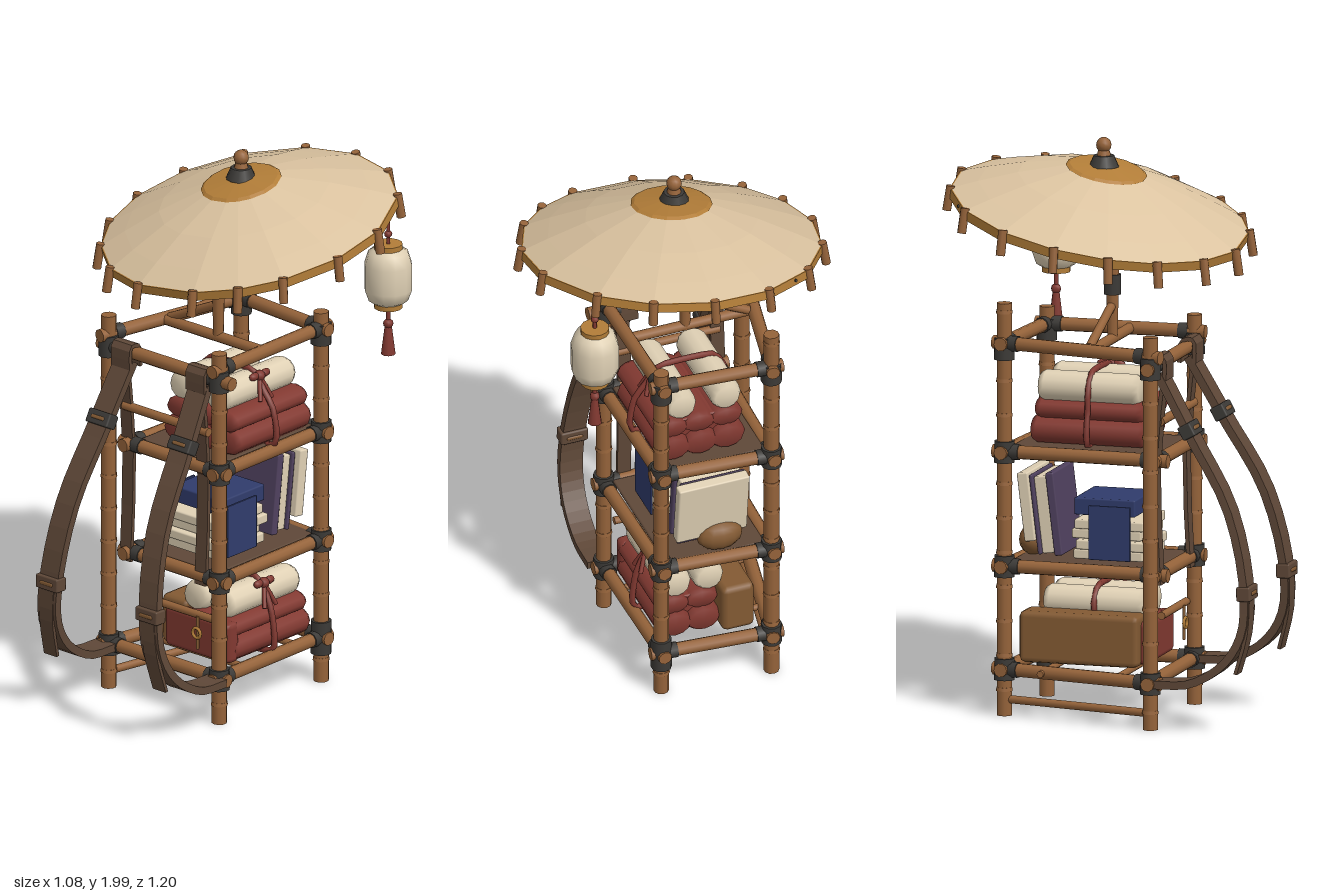
import * as THREE from 'three';
import { RoundedBoxGeometry } from 'three/addons/geometries/RoundedBoxGeometry.js';

const mat = (name, color) => Object.assign(new THREE.MeshStandardMaterial({ color }), { name });
const V = (x, y, z) => new THREE.Vector3(x, y, z);

export function createModel() {
  const bamboo = mat('bamboo', 0x95633a), wrap = mat('dark binding', 0x3c3a37);
  const canopyMat = mat('parchment', 0xdbc3a0), gold = mat('golden trim', 0xb27d38);
  const leather = mat('strap leather', 0x5f4838), red = mat('red cloth', 0x823931);
  const cream = mat('cream paper', 0xe0d1b5), blue = mat('blue cover', 0x303c6c);
  const purple = mat('purple cover', 0x50415f), tan = mat('tan leather', 0x835a33);
  canopyMat.side = THREE.DoubleSide;

  const model = new THREE.Group();
  const add = (name, geo, material, x = 0, y = 0, z = 0, parent = model) => {
    const m = new THREE.Mesh(geo, material);
    m.name = name;
    m.position.set(x, y, z);
    parent.add(m);
    return m;
  };
  const rod = (name, a, b, r, material, r2 = r, sides = 10, parent = model) => {
    const d = b.clone().sub(a);
    const m = add(name, new THREE.CylinderGeometry(r2, r, d.length(), sides), material, 0, 0, 0, parent);
    m.position.copy(a).lerp(b, 0.5);
    m.quaternion.setFromUnitVectors(V(0, 1, 0), d.normalize());
    return m;
  };
  const block = (name, w, h, d, material, x, y, z, r = 0.006) =>
    add(name, new RoundedBoxGeometry(w, h, d, 1, r), material, x, y, z);
  const flat = (geo) => {
    const g = geo.toNonIndexed();
    g.computeVertexNormals();
    return g;
  };

  // Corner posts with raised bamboo nodes, bound where bars meet them
  const corners = [[-0.38, 0.24, 1.38], [0.13, 0.24, 1.37], [0.125, -0.29, 1.37], [-0.27, -0.32, 1.45]];
  const levels = [0.17, 0.53, 0.93, 1.29];
  const isShelf = (l) => l === 1 || l === 2;
  corners.forEach(([x, z, top], i) => {
    rod('cornerPost', V(x, 0.008, z), V(x, top, z), 0.027, bamboo);
    for (let y = 0.07 + i * 0.01; y < top; y += 0.12)
      add('postNode', new THREE.CylinderGeometry(0.028, 0.03, 0.012, 10), bamboo, x, y, z);
    levels.forEach((y, l) => {
      if (i === 0 && isShelf(l)) return;
      add('postBinding', new THREE.CylinderGeometry(0.036, 0.037, l === 0 && i === 2 ? 0.12 : 0.075, 10),
        wrap, x, y - (l === 3 && i < 2 ? 0.02 : 0), z);
    });
  });

  // Horizontal bars; the two upper shelves have their front left corner set inward
  levels.forEach((y, l) => {
    const corner = (i, h) => i % 4 === 0 && isShelf(l) ? V(-0.285, h, 0.235) : V(corners[i % 4][0], h, corners[i % 4][1]);
    for (let i = 0; i < 4; i++) {
      const topFront = l === 3 && i === 0;
      const h = l < 3 ? y : topFront ? 1.27 : 1.31;
      const a = corner(i, h), b = corner(i + 1, h), d = b.clone().sub(a).normalize();
      rod('crossBar', a.clone().addScaledVector(d, -0.04), b.clone().addScaledVector(d, topFront ? 0.06 : 0.04), 0.024, bamboo);
      [[a, 1], [b, -1]].forEach(([p, s]) => rod('barBinding', p.clone().addScaledVector(d, 0.02 * s),
        p.clone().addScaledVector(d, 0.055 * s), 0.028, wrap));
    }
    // Boards and slats under the load
    if (isShelf(l)) block('shelfBoard', 0.36, 0.014, 0.52, leather, -0.075, y + 0.012, -0.04);
    if (l === 0) [-0.17, 0.1].forEach(z => rod('shelfSlat', V(-0.34, y, z), V(0.13, y, z), 0.012, bamboo));
  });
  rod('lowSideBar', V(-0.38, 0.065, 0.24), V(-0.27, 0.065, -0.32), 0.014, bamboo);
  rod('frontRail', V(-0.3, 1.07, 0.25), V(0.09, 1.07, 0.25), 0.016, bamboo);
  rod('lowerFrontRail', V(-0.19, 0.37, 0.22), V(0.1, 0.37, 0.22), 0.014, bamboo);

  // Parasol mast with its braces
  rod('mastBar', V(-0.33, 1.31, 0.01), V(0.13, 1.31, 0.01), 0.019, bamboo);
  rod('mast', V(-0.08, 1.3, 0.01), V(-0.08, 1.64, 0.01), 0.018, bamboo, 0.026);
  rod('mastTop', V(-0.08, 1.62, 0.01), V(-0.02, 1.88, -0.04), 0.024, bamboo);
  rod('mastBrace', V(-0.31, 1.32, 0), V(-0.08, 1.43, 0.01), 0.016, bamboo);
  rod('mastFork', V(-0.08, 1.5, 0.01), V(0.02, 1.7, -0.12), 0.011, bamboo);
  add('mastBinding', new THREE.CylinderGeometry(0.03, 0.03, 0.07, 10), wrap, -0.08, 1.5, 0.01);
  [[0.4, 1.81, -0.36], [-0.3, 1.785, -0.48]].forEach(p =>
    rod('parasolStay', V(-0.08, 1.64, 0.01), V(...p), 0.006, wrap, 0.006, 6));

  // Tilted parasol: sixteen hand-cut panels, rim band and hanging rib ends
  const parasol = new THREE.Group();
  parasol.name = 'parasol';
  parasol.position.set(0, 1.737, -0.062);
  parasol.quaternion.setFromUnitVectors(V(0, 1, 0), V(-0.09, 1, 0.2).normalize());
  model.add(parasol);
  const ribs = [4.5, -19, -43.5, -67.5, -90, -111, -130.5, -152, -173, -199, -217, -234.5, -258, -281, -309.5, -332, -355.5]
    .map(d => THREE.MathUtils.degToRad(180 - d));
  const lathe = (pts) => {
    const g = new THREE.LatheGeometry(pts.map(p => new THREE.Vector2(...p)), 16), p = g.attributes.position;
    for (let i = 0; i < p.count; i++) {
      const a = ribs[Math.floor(i / pts.length)], r = pts[i % pts.length][0];
      p.setXYZ(i, r * Math.sin(a), p.getY(i), r * Math.cos(a));
    }
    return flat(g);
  };
  add('canopy', lathe([[0.518, 0.004], [0.43, 0.043], [0.3, 0.096], [0.14, 0.148], [0.001, 0.165]]), canopyMat, 0, 0, 0, parasol);
  add('canopyCap', lathe([[0.142, 0.15], [0.13, 0.158], [0.001, 0.172]]), gold, 0, 0, 0, parasol);
  add('innerCap', lathe([[0.001, 0.152], [0.13, 0.141]]), gold, 0, 0, 0, parasol);
  add('rimBand', lathe([[0.508, -0.028], [0.522, -0.028], [0.522, 0.004], [0.508, 0.005], [0.508, -0.028]]), gold, 0, 0, 0, parasol);
  const down = V(0, -1, 0).applyQuaternion(parasol.quaternion.clone().invert());
  ribs.slice(0, 16).forEach(a => {
    const out = V(Math.sin(a), 0, Math.cos(a));
    const top = out.clone().multiplyScalar(0.52).setY(0.012);
    const end = top.clone().addScaledVector(down, 0.088).addScaledVector(out, 0.014);
    rod('ribEnd', top, end, 0.016, bamboo, 0.016, 8, parasol);
  });
  add('finialCollar', new THREE.CylinderGeometry(0.036, 0.053, 0.04, 12), wrap, -0.02, 1.917, -0.04);
  add('finialNeck', new THREE.CylinderGeometry(0.018, 0.026, 0.03, 12), bamboo, -0.02, 1.947, -0.04);
  add('finialBall', new THREE.SphereGeometry(0.027, 12, 8), bamboo, -0.02, 1.973, -0.04);

  // Hanging lantern and tassel
  const lx = 0.39, lz = -0.34;
  const lantern = [[0.045, 1.455], [0.07, 1.47], [0.084, 1.51], [0.084, 1.6], [0.07, 1.645], [0.045, 1.66]];
  add('lanternBody', new THREE.LatheGeometry(lantern.map(p => new THREE.Vector2(...p)), 12), cream, lx, 0, lz);
  [1.45, 1.665].forEach(y => add('lanternCap', new THREE.CylinderGeometry(0.05, 0.05, 0.02, 12), gold, lx, y, lz));
  rod('lanternCord', V(lx, 1.67, lz), V(lx, 1.82, lz), 0.007, red);
  add('lanternKnot', new THREE.SphereGeometry(0.014, 8, 6), red, lx, 1.71, lz);
  rod('tasselCord', V(lx, 1.36, lz), V(lx, 1.45, lz), 0.008, red);
  add('tasselHead', new THREE.SphereGeometry(0.018, 8, 6), red, lx, 1.38, lz);
  add('tasselSkirt', new THREE.CylinderGeometry(0.012, 0.025, 0.105, 8), red, lx, 1.32, lz);

  // Leather straps swept along curves
  const strap = (name, pts, w, t, n = 24) => {
    const curve = new THREE.CatmullRomCurve3(pts), g = new THREE.BoxGeometry(w, 1, t, 1, n, 1);
    const p = g.attributes.position;
    for (let i = 0; i < p.count; i++) {
      const u = p.getY(i) + 0.5, c = curve.getPoint(u);
      const nrm = V(1, 0, 0).cross(curve.getTangent(u)).normalize();
      c.addScaledVector(nrm, p.getZ(i));
      p.setXYZ(i, c.x + p.getX(i), c.y, c.z);
    }
    add(name, flat(g), leather);
  };
  const sweep = [[0.25, 1.24], [0.37, 1.03], [0.51, 0.785], [0.575, 0.52], [0.57, 0.36], [0.51, 0.255], [0.39, 0.18], [0.26, 0.17]];
  [[-0.29, -0.37], [0.055, 0.14]].forEach(([x0, x1]) => {
    const xAt = (y) => THREE.MathUtils.lerp(x1, x0, (y - 0.17) / 1.07);
    strap('shoulderStrap', sweep.map(([z, y]) => V(xAt(y), y, z)), 0.084, 0.028);
    strap('strapTongue', [[0.59, 0.5], [0.585, 0.36], [0.55, 0.22]].map(([z, y]) => V(xAt(y), y, z)), 0.06, 0.012, 6);
    strap('backStrap', [V(x0, 1.28, 0.27), V(x0, 0.9, 0.235), V(x0, 0.5, 0.25)], 0.05, 0.014, 4);
    strap('strapLoop', [V(x0, 1.22, 0.275), V(x0, 1.3, 0.27), V(x0, 1.295, 0.23), V(x0, 1.22, 0.22)], 0.085, 0.014, 8);
    [[1.05, 0.36, 0.5, wrap], [0.5, 0.577, 0.03, leather]].forEach(([y, z, tilt, m]) => {
      block('strapBuckle', 0.1, 0.05, 0.05, m, xAt(y), y, z).rotation.x = -tilt;
      block('bucklePlate', 0.06, 0.015, 0.058, tan, xAt(y), y, z).rotation.x = -tilt;
    });
  });

  // Tied bundles on the bottom and top shelves
  const roll = (name, x, y, r, z0, z1, m, sy = 1) => {
    const pts = [[0, z0], [r * 0.8, z0], [r, z0 + 0.02], [r, z1 - 0.02], [r * 0.8, z1], [0, z1]];
    const g = new THREE.LatheGeometry(pts.map(p => new THREE.Vector2(...p)), 12).rotateX(Math.PI / 2);
    add(name, g, m, x, y).scale.y = sy;
  };
  const bundle = (y, xs, creams) => {
    const first = xs[0], last = xs[xs.length - 1];
    xs.forEach((x, i) => {
      roll('redRoll', x, y + 0.045, 0.068, -0.25, 0.16 - i * 0.01, red, 0.75);
      roll('redFold', x, y + 0.12, 0.064, -0.235, 0.15, red, 0.6);
    });
    block('redFilling', last - first + 0.06, 0.13, 0.36, red, (first + last) / 2, y + 0.08, -0.045);
    creams.forEach(x => roll('creamRoll', x, y + 0.197, 0.056, -0.225, 0.135, cream, 0.98));
    // Cord hugging the bundle, with a bow on its outer shoulder
    const l = first - 0.068, r = last + 0.068, [c0, c1] = creams;
    const loop = [[l, 0], [r, 0], [r, 0.13], [c1 + 0.056, 0.2], [c1 + 0.01, 0.253], [c0 - 0.01, 0.253], [c0 - 0.056, 0.2], [l, 0.13]]
      .map(([x, h]) => V(x, y + h, -0.04));
    add('tieCord', new THREE.TubeGeometry(new THREE.CatmullRomCurve3(loop, true, 'catmullrom', 0.3), 32, 0.011, 6, true), red);
    const bx = c1 + 0.045;
    add('tieKnot', new THREE.SphereGeometry(0.02, 8, 6), red, bx, y + 0.24, -0.04);
    [-1, 1].forEach(s => {
      add('tieBow', new THREE.SphereGeometry(0.024, 8, 6), red, bx, y + 0.243, -0.04 + 0.028 * s).scale.set(0.5, 0.6, 1);
      rod('tieEnd', V(bx, y + 0.24, -0.04), V(bx + 0.03, y + 0.16, -0.04 + 0.03 * s), 0.008, red);
    });
  };
  bundle(0.19, [-0.05, 0.055], [-0.08, 0.04]);
  bundle(0.95, [-0.14, -0.04, 0.06], [-0.145, 0.02]);
  block('sideSatchel', 0.12, 0.18, 0.43, tan, -0.165, 0.275, -0.07, 0.02);
  block('frontPouch', 0.3, 0.15, 0.06, red, -0.035, 0.267, 0.145, 0.02);
  rod('charmCord', V(0.025, 0.25, 0.235), V(0.025, 0.37, 0.235), 0.006, tan);
  add('charmRing', new THREE.TorusGeometry(0.018, 0.006, 6, 12), gold, 0.025, 0.31, 0.24);

  // Stacked books wrapped in a blue cover
  for (let i = 0; i < 4; i++) {
    const dx = [0, -0.012, 0.008, -0.004][i];
    block('stackedBook', 0.26, 0.034, 0.25, cream, -0.085 + dx, 0.575 + i * 0.035, 0.035 - dx);
  }
  block('blueBook', 0.23, 0.06, 0.22, blue, -0.075, 0.737, 0.015);
  [-0.227, 0.058].forEach(x => block('blueWrapSide', 0.008, 0.19, 0.15, blue, x, 0.655, 0.045, 0.002));

  // Leaning books and a pouch at the back of the middle shelf
  const upright = (name, w, h, d, m, x, y, z) => { block(name, w, h, d, m, x, y, z).rotation.x = -0.12; };
  upright('purpleFrontCover', 0.24, 0.29, 0.03, purple, -0.08, 0.705, -0.165);
  upright('pageBlock', 0.22, 0.27, 0.045, cream, -0.08, 0.7, -0.202);
  upright('purpleBackCover', 0.24, 0.28, 0.014, purple, -0.08, 0.7, -0.232);
  upright('paperTablet', 0.26, 0.24, 0.04, cream, -0.07, 0.725, -0.265);
  add('backPouch', new THREE.SphereGeometry(0.07, 12, 8), tan, -0.1, 0.6, -0.265).scale.set(1.2, 0.8, 0.7);

  return model;
}
